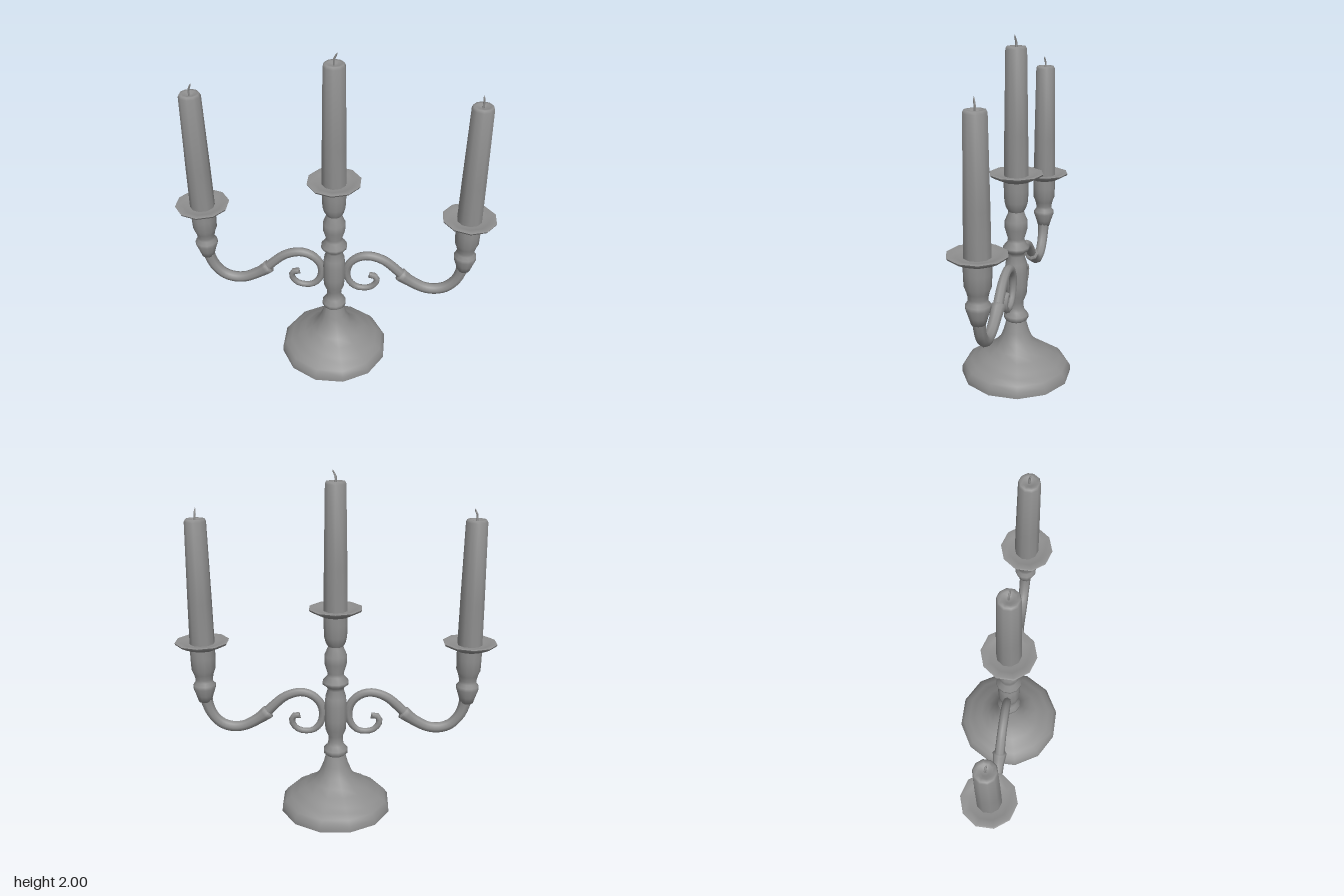
import * as THREE from 'three';
import { toCreasedNormals } from 'three/addons/utils/BufferGeometryUtils.js';

const darkGrey = new THREE.MeshStandardMaterial({ color: 0x8e8e8e });

function addMesh(parent, name, geometry) {
  const mesh = new THREE.Mesh(toCreasedNormals(geometry, 1.3), darkGrey);
  mesh.name = name;
  parent.add(mesh);
  return mesh;
}

// Turned part from [radius, height] pairs, listed bottom to top
function turned(parent, name, profile, sides = 12, turn = Math.PI / 12) {
  const points = profile.map(([r, y]) => new THREE.Vector2(r, y));
  return addMesh(parent, name, new THREE.LatheGeometry(points, sides, turn));
}

// Tube along a curve through [x, y, z] points, its thickness following a list of radii
function taperedTube(parent, name, path, radii, steps, sides = 8) {
  const curve = new THREE.CatmullRomCurve3(path.map(([x, y, z = 0]) => new THREE.Vector3(x, y, z)));
  const geometry = new THREE.TubeGeometry(curve, steps, 1, sides);
  const position = geometry.attributes.position;
  const v = new THREE.Vector3();
  for (let i = 0; i <= steps; i++) {
    const centre = curve.getPointAt(i / steps);
    const f = (i / steps) * (radii.length - 1);
    const k = Math.min(Math.floor(f), radii.length - 2);
    let radius = THREE.MathUtils.lerp(radii[k], radii[k + 1], f - k);
    if (i === steps) radius = 0.0005; // closes the far end
    for (let j = 0; j <= sides; j++) {
      const n = i * (sides + 1) + j;
      v.fromBufferAttribute(position, n).sub(centre).multiplyScalar(radius).add(centre);
      position.setXYZ(n, v.x, v.y, v.z);
    }
  }
  return addMesh(parent, name, geometry);
}

// Candle standing on y = 0, with a bent wick
function candle(name, height, lean) {
  const group = new THREE.Group();
  group.name = name;
  turned(group, 'wax', [
    [0, 0], [0.071, 0], [0.068, height * 0.35], [0.06, height - 0.014],
    [0.053, height], [0.036, height], [0.02, height - 0.01], [0, height - 0.012],
  ], 10, 0);
  taperedTube(group, 'wick', [
    [0, height - 0.015], [0, height + 0.025], [lean * 0.5, height + 0.042, 0.003], [lean, height + 0.06, 0.004],
  ], [0.006, 0.006, 0.004], 6, 5);
  return group;
}

// Ten-sided drip plate with its upper rim at the given height
function plate(parent, name, rim) {
  turned(parent, name, [
    [0.066, -0.05], [0.09, -0.042], [0.12, -0.028], [0.15, -0.012], [0.155, -0.002],
    [0.146, 0.001], [0.11, -0.008], [0.085, -0.014], [0, -0.014],
  ].map(([r, y]) => [r, y + rim]), 10, 0);
}

export function createModel() {
  const model = new THREE.Group();
  model.name = 'candelabrum';

  // Foot with a soft step
  turned(model, 'base', [
    [0, 0], [0.329, 0], [0.327, 0.035], [0.306, 0.065], [0.272, 0.088], [0.238, 0.108],
    [0.22, 0.124], [0.188, 0.14], [0.14, 0.175], [0.1, 0.22], [0.075, 0.28], [0.056, 0.35],
  ]);

  // Central stem
  turned(model, 'stem', [
    [0.054, 0.34], [0.072, 0.357], [0.072, 0.38], [0.05, 0.405], [0.044, 0.43], [0.044, 0.465],
    [0.062, 0.51], [0.066, 0.57], [0.066, 0.66], [0.062, 0.71], [0.047, 0.755],
    [0.052, 0.775], [0.077, 0.793], [0.077, 0.808], [0.05, 0.84], [0.048, 0.86],
    [0.066, 0.92], [0.066, 0.965], [0.047, 1.01], [0.044, 1.03],
  ]);

  // Central cup, plate and candle
  turned(model, 'centreCup', [
    [0.044, 1.02], [0.058, 1.045], [0.067, 1.08], [0.07, 1.15], [0.07, 1.205],
  ]);
  plate(model, 'centrePlate', 1.247);
  const centreCandle = candle('centreCandle', 0.72, 0.017);
  centreCandle.position.y = 1.222;
  model.add(centreCandle);

  for (const [side, s] of [['left', 1], ['right', -1]]) {
    const arm = new THREE.Group();
    arm.name = side + 'Arm';
    model.add(arm);
    const mirror = (points) => points.map(([x, y]) => [x * s, y]);

    // Upper arm curling round beside the stem into a small scroll
    taperedTube(arm, 'scroll', mirror([
      [0.43, 0.58], [0.36, 0.655], [0.29, 0.712], [0.205, 0.737], [0.14, 0.72], [0.09, 0.67], [0.075, 0.61],
      [0.088, 0.545], [0.13, 0.5], [0.18, 0.492], [0.225, 0.505], [0.255, 0.545], [0.25, 0.582],
      [0.22, 0.592], [0.204, 0.572],
    ]), [0.03, 0.029, 0.027, 0.026, 0.025, 0.021, 0.018, 0.018, 0.021], 34);

    // Lower arm, flared where it overlaps the upper one
    taperedTube(arm, 'lowerArm', mirror([
      [0.758, 0.74], [0.752, 0.68], [0.724, 0.6], [0.67, 0.54], [0.605, 0.518], [0.54, 0.524],
      [0.475, 0.555], [0.42, 0.592], [0.378, 0.628],
    ]), [0.04, 0.034, 0.032, 0.032, 0.032, 0.034, 0.045], 24);

    // Candle holder at the end of the arm
    const holder = new THREE.Group();
    holder.name = side + 'Holder';
    holder.position.x = 0.76 * s;
    model.add(holder);
    turned(holder, 'socket', [
      [0, 0.68], [0.038, 0.68], [0.05, 0.72], [0.065, 0.765], [0.065, 0.785], [0.05, 0.802],
      [0.05, 0.82], [0.057, 0.85], [0.069, 0.88], [0.071, 0.95], [0.071, 1.01],
    ]);
    plate(holder, 'plate', 1.049);
    const sideCandle = candle('candle', 0.715, s > 0 ? -0.004 : 0.016);
    sideCandle.position.y = 1.026;
    holder.add(sideCandle);
  }
  return model;
}
